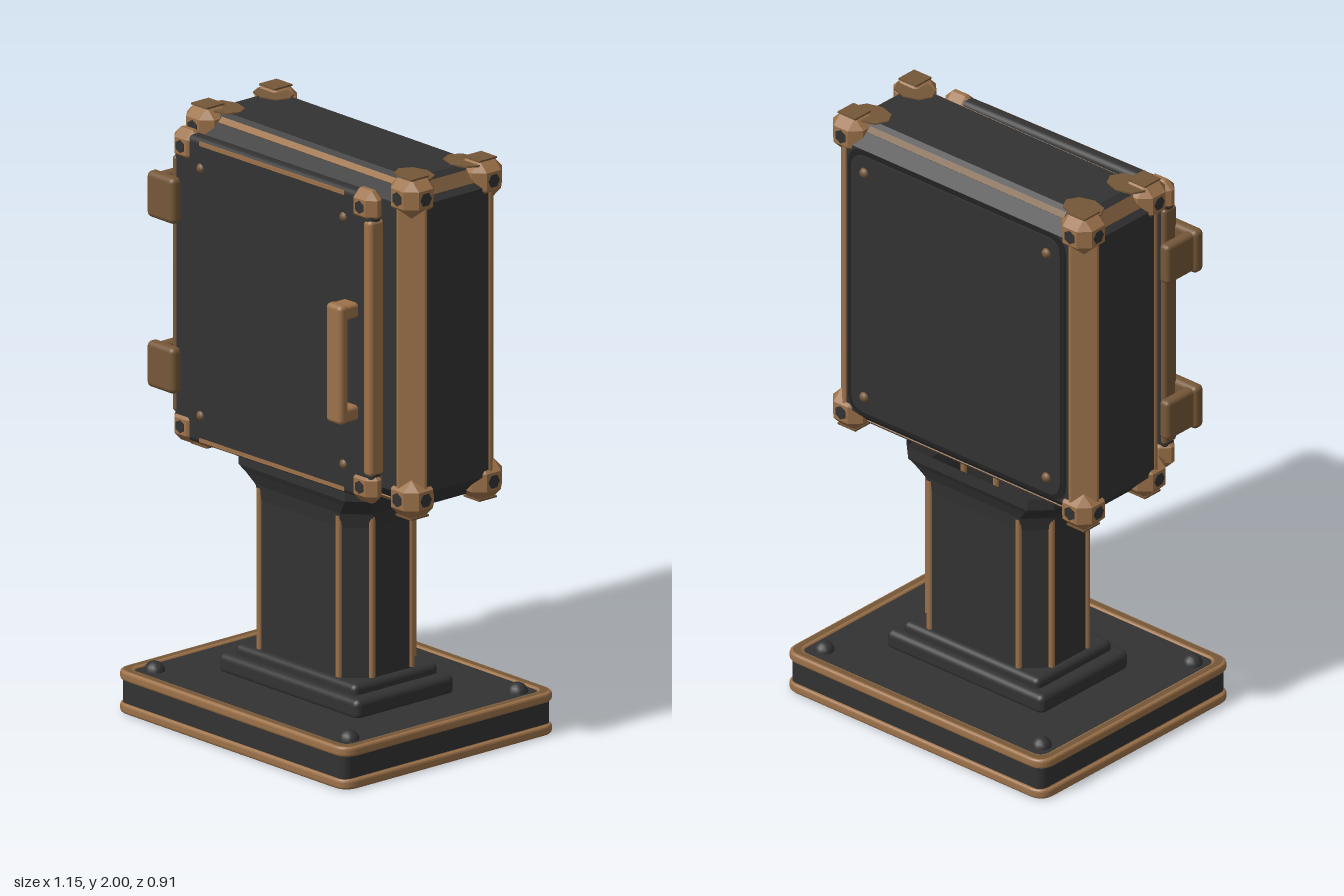
import * as THREE from 'three';
import { RoundedBoxGeometry } from 'three/addons/geometries/RoundedBoxGeometry.js';
import { ConvexGeometry } from 'three/addons/geometries/ConvexGeometry.js';

const mat = (name, color) => Object.assign(new THREE.MeshStandardMaterial({ color }), { name });

export function createModel() {
  const iron = mat('dark iron', 0x323232);
  const groove = mat('groove black', 0x222222);
  const bronze = mat('bronze', 0x9c7149);
  const worn = mat('worn bronze', 0x755738);
  const model = new THREE.Group();
  model.name = 'cabinetOnPost';

  const add = (parent, name, geo, material, x = 0, y = 0, z = 0) => {
    const m = new THREE.Mesh(geo, material);
    m.name = name;
    m.position.set(x, y, z);
    parent.add(m);
    return m;
  };
  const group = (name, x = 0, y = 0, z = 0) => {
    const g = new THREE.Group();
    g.name = name;
    g.position.set(x, y, z);
    model.add(g);
    return g;
  };
  const rbox = (w, h, d, r) => new RoundedBoxGeometry(w, h, d, 3, r);
  const box = (w, h, d) => new THREE.BoxGeometry(w, h, d);

  // Box with every edge cut at 45 degrees
  const chamferBox = (w, h, d, c) => {
    const pts = [];
    for (const i of [-1, 1]) for (const j of [-1, 1]) for (const k of [-1, 1]) {
      const [x, y, z] = [w / 2, h / 2, d / 2];
      pts.push(new THREE.Vector3(i * x, j * (y - c), k * (z - c)),
        new THREE.Vector3(i * (x - c), j * y, k * (z - c)),
        new THREE.Vector3(i * (x - c), j * (y - c), k * z));
    }
    return new ConvexGeometry(pts);
  };

  const roundRect = (w, h, r, C = THREE.Shape) => {
    const s = new C(), x = w / 2, y = h / 2;
    s.moveTo(-x + r, -y).lineTo(x - r, -y).quadraticCurveTo(x, -y, x, -y + r);
    s.lineTo(x, y - r).quadraticCurveTo(x, y, x - r, y);
    s.lineTo(-x + r, y).quadraticCurveTo(-x, y, -x, y - r);
    s.lineTo(-x, -y + r).quadraticCurveTo(-x, -y, -x + r, -y);
    return s;
  };
  const plate = (w, h, r, t) => new THREE.ExtrudeGeometry(roundRect(w, h, r), { depth: t, bevelEnabled: false });
  const frame = (w, h, r, band, t) => {
    const s = roundRect(w, h, r), b = 0.01;
    s.holes.push(roundRect(w - 2 * band, h - 2 * band, r * 0.6, THREE.Path));
    return new THREE.ExtrudeGeometry(s, { depth: t - 2 * b, bevelThickness: b, bevelSize: b, bevelOffset: -b, bevelSegments: 3 });
  };
  const stud = new THREE.SphereGeometry(0.018, 12, 8);

  // Base slab with trimmed edges and corner bolts
  const base = group('base', -0.02);
  add(base, 'slab', rbox(1.08, 0.13, 0.89, 0.03), iron, 0, 0.078, 0);
  for (const [name, y] of [['topTrim', 0.125], ['bottomTrim', 0.016]]) {
    add(base, name, frame(1.11, 0.91, 0.06, 0.04, 0.034), [worn, bronze], 0, y, 0).rotation.x = -Math.PI / 2;
  }
  add(base, 'underPlate', box(1.02, 0.008, 0.82), iron, 0, 0.01, 0);
  for (const i of [-1, 1]) for (const k of [-1, 1]) {
    add(base, 'baseBolt', new THREE.SphereGeometry(0.035, 14, 10), iron, i * 0.465, 0.14, k * 0.36);
  }

  // Octagonal post lofted from cross-sections, flared at the top
  const post = group('post', -0.018);
  const ring = ([y, a, b, c]) => [[a, b - c], [a - c, b], [c - a, b], [-a, b - c], [-a, c - b], [c - a, -b], [a - c, -b], [a, c - b]]
    .map(([x, z]) => [x, y, z]);
  const rows = [[0.18, 0.267, 0.16, 0.075], [0.74, 0.267, 0.16, 0.075], [0.79, 0.275, 0.165, 0.073],
    [0.83, 0.3, 0.18, 0.065], [0.85, 0.315, 0.19, 0.06], [0.89, 0.315, 0.19, 0.06]].map(ring);
  const verts = [];
  for (let r = 0; r < rows.length - 1; r++) for (let i = 0; i < 8; i++) {
    const j = (i + 1) % 8, [a, b, c, d] = [rows[r][i], rows[r][j], rows[r + 1][j], rows[r + 1][i]];
    verts.push(...a, ...c, ...b, ...a, ...d, ...c);
  }
  const shaft = new THREE.BufferGeometry();
  shaft.setAttribute('position', new THREE.Float32BufferAttribute(verts, 3));
  shaft.computeVertexNormals();
  const shaftMat = iron;
  shaftMat.side = THREE.DoubleSide;
  add(post, 'shaft', shaft, shaftMat);
  add(post, 'lowerCollar', rbox(0.67, 0.07, 0.42, 0.022), iron, 0, 0.168, 0);
  add(post, 'upperCollar', rbox(0.58, 0.06, 0.36, 0.02), iron, 0, 0.207, 0);
  for (const [x, , z] of rows[0]) {
    add(post, 'postEdge', new THREE.CylinderGeometry(0.011, 0.011, 0.54, 8), bronze, x * 0.988, 0.51, z * 0.985);
  }

  // Cabinet body
  const W = 1.09, H = 1.11, D = 0.4, C = 0.07;
  const cabinet = group('cabinet', 0.015, 1.43, -0.003);
  add(cabinet, 'cabinetBody', chamferBox(W, H, D, C), iron);
  for (const i of [-1, 1]) {
    for (const k of [-1, 1]) {
      // Upright edge straps
      add(cabinet, 'cornerStrap', rbox(0.098, 0.98, 0.024, 0.01), bronze,
        i * (W / 2 - C / 2), 0, k * (D / 2 - C / 2)).rotation.y = i * k * Math.PI / 4;
      // Thin trims along the long top and bottom edges
      const trim = add(cabinet, 'edgeTrim', box(0.84, 0.022, 0.008), k < 0 ? worn : bronze,
        0, i * (H / 2 - 0.022), k * (D / 2 - C + 0.022));
      trim.rotation.x = -i * k * Math.PI / 4;
      // Corner caps with dark insets
      for (const j of [-1, 1]) {
        const cap = new THREE.Group();
        cap.name = 'cornerCap';
        cap.position.set(i * 0.49, j * 0.505, k * 0.145);
        cabinet.add(cap);
        add(cap, 'capBlock', chamferBox(0.13, 0.13, 0.13, 0.035), bronze);
        add(cap, 'capPlate', box(0.075, 0.006, 0.075), worn, 0, j * 0.064, 0);
        const side = add(cap, 'capInset', new THREE.CylinderGeometry(0.024, 0.024, 0.006, 6), iron, i * 0.064, 0, 0);
        side.rotation.z = Math.PI / 2;
        const face = add(cap, 'capInset', new THREE.CylinderGeometry(0.024, 0.024, 0.006, 6), iron, 0, 0, k * 0.064);
        face.rotation.x = Math.PI / 2;
      }
    }
    // Short trims on the ends of the top
    add(cabinet, 'endTrim', box(0.05, 0.008, 0.17), worn, i * (W / 2 - C / 2), H / 2 - C / 2, 0).rotation.z = -i * Math.PI / 4;
    // Extra corner webs narrowing the top plate to an octagon
    for (const k of [-1, 1]) {
      const web = add(cabinet, 'topWeb', new THREE.CylinderGeometry(0.075, 0.075, 0.006, 8), worn, i * 0.455, H / 2 + 0.001, k * 0.105);
      web.scale.z = 0.75;
    }
  }

  // Back panel in a dark groove, with four studs
  const back = group('backPanel', 0.015, 1.43, -0.203);
  add(back, 'panelGroove', plate(0.93, 0.97, 0.07, 0.005), groove, 0, 0, -0.003);
  add(back, 'panelPlate', plate(0.895, 0.935, 0.06, 0.009), iron, 0, 0, -0.009);
  for (const i of [-1, 1]) for (const j of [-1, 1]) add(back, 'panelStud', stud, worn, i * 0.39, j * 0.41, -0.006);

  // Door, hung very slightly askew
  const door = group('door', -0.025, 1.425, 0.243);
  door.rotation.y = 0.02;
  add(door, 'doorSlab', rbox(0.93, 1.03, 0.055, 0.022), iron);
  add(door, 'gasket', box(0.8, 0.9, 0.05), groove, 0, 0, -0.03);
  add(door, 'doorEdge', rbox(0.04, 0.86, 0.063, 0.015), bronze, 0.448, 0, 0);
  add(door, 'doorEdge', rbox(0.025, 0.86, 0.06, 0.012), worn, -0.455, 0, 0);
  for (const j of [-1, 1]) {
    add(door, 'doorTrim', box(0.68, 0.014, 0.008), bronze, 0, j * 0.497, 0.025);
    for (const i of [-1, 1]) {
      add(door, 'doorCorner', chamferBox(0.11, 0.11, 0.072, 0.028), bronze, i * 0.42, j * 0.47, 0);
      const inset = add(door, 'doorCornerInset', new THREE.CylinderGeometry(0.022, 0.022, 0.006, 6), iron, i * 0.42, j * 0.47, 0.035);
      inset.rotation.x = Math.PI / 2;
      add(door, 'doorStud', stud, worn, i * 0.335, j * 0.415, 0.02);
    }
  }

  // Grab handle
  const handle = group('handle', 0.345, 1.37, 0);
  add(handle, 'handleBar', rbox(0.075, 0.4, 0.04, 0.016), bronze, 0, 0, 0.32);
  for (const j of [-1, 1]) add(handle, 'handleFoot', rbox(0.07, 0.05, 0.08, 0.012), bronze, 0, j * 0.172, 0.29);

  // Hinges: knuckle plate in front, leaf reaching back to the body
  for (const y of [1.71, 1.14]) {
    const hinge = group('hinge', -0.515, y, 0);
    add(hinge, 'hingePlate', rbox(0.13, 0.155, 0.045, 0.018), worn, 0, 0, 0.292);
    add(hinge, 'hingeLeaf', rbox(0.04, 0.14, 0.15, 0.015), worn, -0.035, 0, 0.225);
  }
  return model;
}
